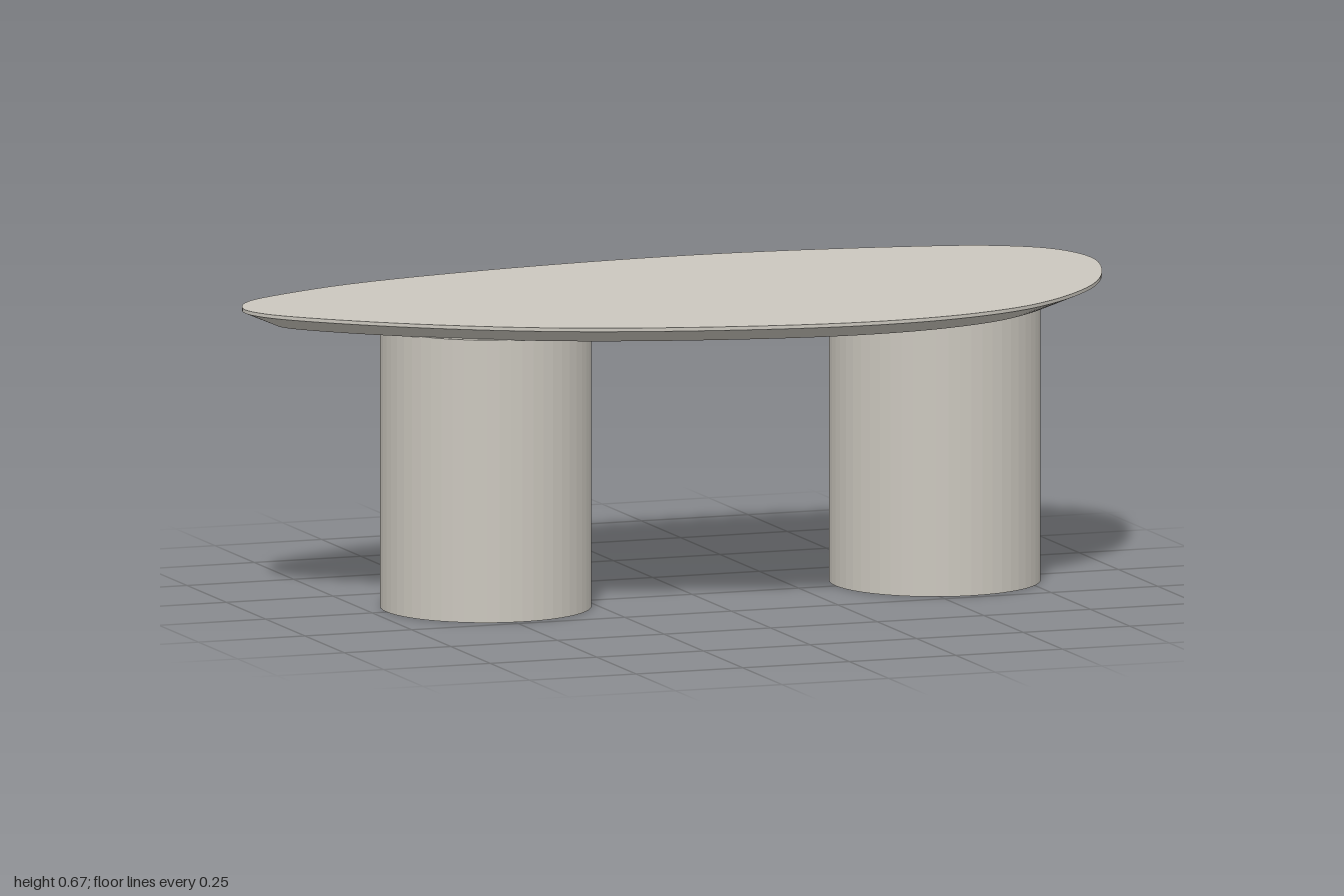
import * as THREE from 'three';
import { toCreasedNormals } from 'three/addons/utils/BufferGeometryUtils.js';

const SAMPLES = 144;

// Plan outline of the top as [x, z], running from the narrow end along the back
const OUTLINE = [
  [-1, -0.14], [-0.955, -0.235], [-0.8, -0.33], [-0.615, -0.402], [-0.2, -0.482],
  [0.245, -0.506], [0.67, -0.455], [0.85, -0.405], [0.96, -0.32], [1, -0.19],
  [0.965, -0.01], [0.86, 0.2], [0.67, 0.39], [0.49, 0.472], [0.27, 0.504],
  [0, 0.478], [-0.4, 0.366], [-0.69, 0.207], [-0.92, 0.015], [-0.985, -0.07],
];

// Outline moved inwards by a distance, at a given height
function makeRing(curve, inset, y) {
  return Array.from({ length: SAMPLES }, (_, i) => {
    const p = curve.getPoint(i / SAMPLES);
    const t = curve.getTangent(i / SAMPLES);
    return new THREE.Vector3(p.x - t.z * inset, y, p.z + t.x * inset);
  });
}

function tableTopGeometry() {
  const curve = new THREE.CatmullRomCurve3(
    OUTLINE.map(([x, z]) => new THREE.Vector3(x, 0, z)), true, 'centripetal');
  const rings = [
    makeRing(curve, 0, 0.67),
    makeRing(curve, 0, 0.662),
    makeRing(curve, 0.08, 0.628),
  ];
  const positions = [];
  const triangle = (...corners) => corners.forEach((p) => positions.push(p.x, p.y, p.z));
  const topCentre = new THREE.Vector3(0.1, 0.67, 0);
  const bottomCentre = new THREE.Vector3(0.1, 0.628, 0);

  for (let i = 0; i < SAMPLES; i++) {
    const j = (i + 1) % SAMPLES;
    // Flat faces above and below
    triangle(topCentre, rings[0][j], rings[0][i]);
    triangle(bottomCentre, rings[2][i], rings[2][j]);
    // Thin lip, then the sloping underside
    for (let k = 0; k < 2; k++) {
      const upper = rings[k], lower = rings[k + 1];
      triangle(upper[i], upper[j], lower[i]);
      triangle(upper[j], lower[j], lower[i]);
    }
  }
  const geometry = new THREE.BufferGeometry();
  geometry.setAttribute('position', new THREE.Float32BufferAttribute(positions, 3));
  return toCreasedNormals(geometry, 0.35);
}

export function createModel() {
  const model = new THREE.Group();
  model.name = 'table';

  const stone = new THREE.MeshStandardMaterial({ color: 0xcbc7be });
  stone.name = 'warm grey stone';

  const top = new THREE.Mesh(tableTopGeometry(), stone);
  top.name = 'tableTop';
  model.add(top);

  // Two faceted drum legs
  const height = 0.63;
  const drum = toCreasedNormals(new THREE.CylinderGeometry(0.233, 0.233, height, 56), 0.05);
  for (const [name, x] of [['rightLeg', -0.483], ['leftLeg', 0.57]]) {
    const leg = new THREE.Mesh(drum, stone);
    leg.name = name;
    leg.position.set(x, height / 2, -0.002);
    model.add(leg);
  }
  return model;
}
